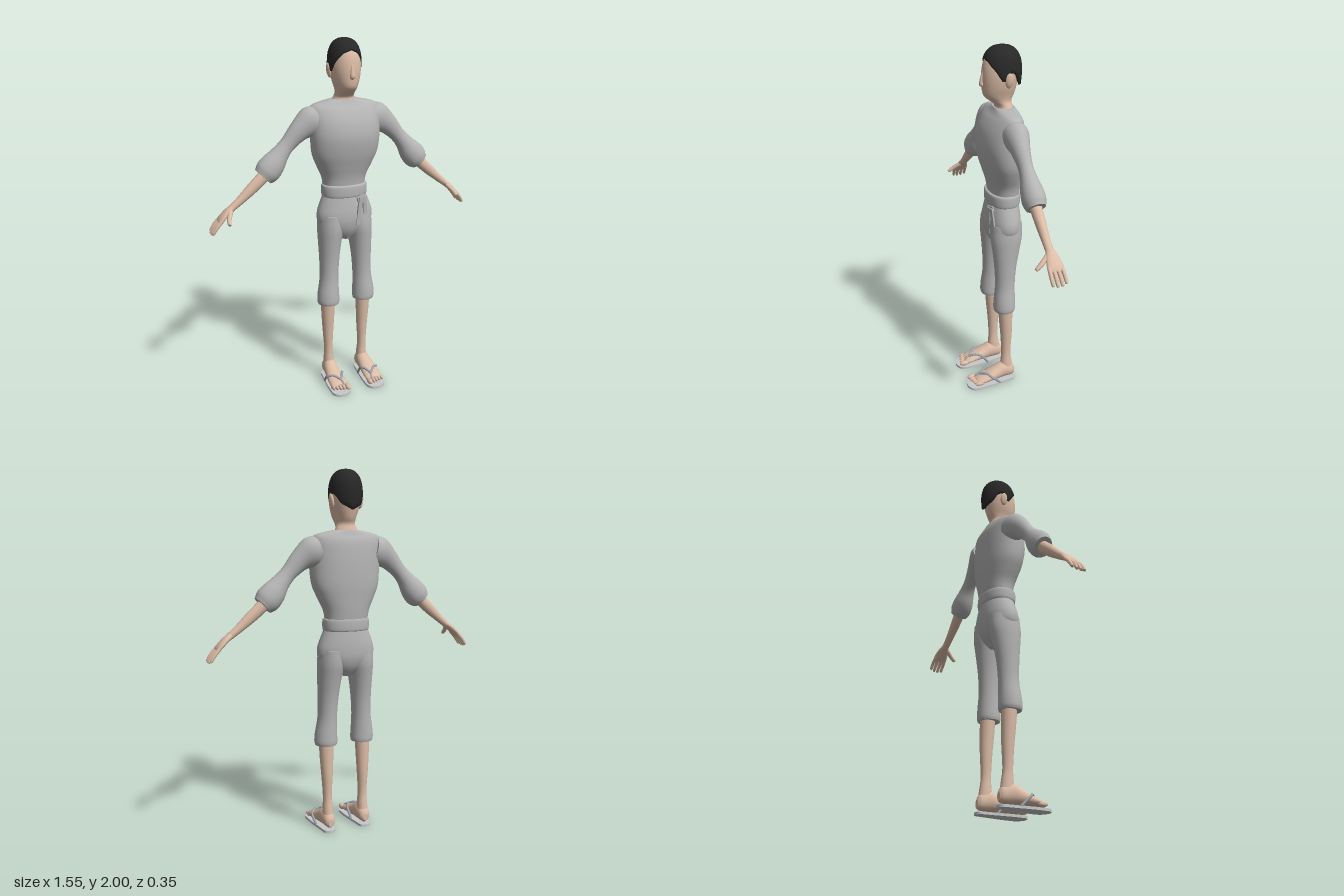
import * as THREE from 'three';

const mat = (name, color) => Object.assign(new THREE.MeshStandardMaterial({ color }), { name });
const V = (x, y, z) => new THREE.Vector3(x, y, z);
const UP = V(0, 1, 0), FRONT = V(0, 0, 1);

// Smooth skin over closed rows of points, optionally capped at both ends
function skin(rows, capped = true) {
  const pos = [], idx = [], n = rows[0].length;
  rows.forEach(r => r.forEach(p => pos.push(p.x, p.y, p.z)));
  for (let i = 0; i < rows.length - 1; i++) for (let j = 0; j < n; j++) {
    const a = i * n + j, b = i * n + (j + 1) % n;
    idx.push(a, b, a + n, b, b + n, a + n);
  }
  if (capped) [rows[0], rows[rows.length - 1]].forEach((r, end) => {
    const base = pos.length / 3, c = V(0, 0, 0);
    r.forEach(p => { pos.push(p.x, p.y, p.z); c.addScaledVector(p, 1 / n); });
    pos.push(c.x, c.y, c.z);
    for (let j = 0; j < n; j++) {
      const k = base + (j + 1) % n;
      idx.push(base + n, end ? base + j : k, end ? k : base + j);
    }
  });
  const g = new THREE.BufferGeometry();
  g.setAttribute('position', new THREE.Float32BufferAttribute(pos, 3));
  g.setIndex(idx);
  g.computeVertexNormals();
  return g;
}

// Loft through rings [x, y, z, radiusU, radiusV]; dir fixes the ring plane, otherwise rings follow the path
function loft(rings, { dir = null, s = 1, n = 24, sub = 4, pow = 1 } = {}) {
  const curve = pts => new THREE.CatmullRomCurve3(pts, false, 'catmullrom');
  const path = curve(rings.map(r => V(r[0] * s, r[1], r[2])));
  const size = curve(rings.map(r => V(r[3], r[4], 0)));
  const count = (rings.length - 1) * sub, rows = [];
  const bend = t => Math.sign(t) * Math.abs(t) ** pow;
  for (let i = 0; i <= count; i++) {
    const c = path.getPoint(i / count), q = size.getPoint(i / count);
    const d = dir || path.getTangent(i / count);
    const u = V(0, 0, 0).crossVectors(dir === FRONT ? UP : FRONT, d).normalize();
    const v = V(0, 0, 0).crossVectors(d, u);
    rows.push(Array.from({ length: n }, (_, j) => {
      const a = j / n * Math.PI * 2;
      return c.clone().addScaledVector(u, bend(Math.cos(a)) * q.x).addScaledVector(v, bend(Math.sin(a)) * q.y);
    }));
  }
  return skin(rows);
}

// Hair cap whose lower edge follows a hairline around the head
function hairGeometry() {
  const line = [[0, 1.94], [0.5, 1.925], [1.0, 1.88], [1.3, 1.83], [1.5, 1.83], [1.75, 1.875],
    [2.05, 1.86], [2.4, 1.815], [3.15, 1.785]];
  const hairline = f => {
    const k = Math.max(1, line.findIndex(p => p[0] >= f)), [a, b] = [line[k - 1], line[k]];
    return a[1] + (b[1] - a[1]) * (f - a[0]) / (b[0] - a[0]);
  };
  const rows = [], n = 48, steps = 14;
  for (let i = 0; i <= steps + 1; i++) rows.push(Array.from({ length: n }, (_, j) => {
    const a = j / n * Math.PI * 2, f = Math.min(a, Math.PI * 2 - a);
    const t = Math.min(i / steps, 1), low = hairline(f);
    const y = low + (2 - low) * (1 - t * t);
    const h = Math.max(0, (y - 1.86) / 0.14);
    let r = Math.max(0, 1 - h ** 2.5) ** (1 / 2.5) - Math.max(0, 1.86 - y) * 0.9;
    if (i > steps) r *= 0.86; // turned-in hem
    return V(Math.sin(a) * 0.09 * r, y, -0.068 + Math.cos(a) * 0.108 * r);
  }));
  return skin(rows.reverse(), false);
}

export function createModel() {
  const cloth = mat('grey cloth', 0xb4b4b4), flesh = mat('skin', 0xdcbca6), black = mat('black hair', 0x282828);
  const strapGrey = mat('blue grey strap', 0x9ea6ae), soleGrey = mat('pale sole', 0xc6c8ca);
  const root = new THREE.Group();
  const add = (name, geo, m, parent = root) => {
    const mesh = new THREE.Mesh(geo, m);
    mesh.name = name;
    parent.add(mesh);
    return mesh;
  };
  const group = name => {
    const g = new THREE.Group();
    g.name = name;
    root.add(g);
    return g;
  };

  // Shirt, belt and hips
  add('shirt', loft([
    [0, 1.17, -0.08, 0.118, 0.077], [0, 1.25, -0.08, 0.13, 0.086], [0, 1.32, -0.073, 0.162, 0.098],
    [0, 1.39, -0.065, 0.19, 0.11], [0, 1.48, -0.058, 0.199, 0.116], [0, 1.56, -0.062, 0.2, 0.107],
    [0, 1.62, -0.072, 0.198, 0.088], [0, 1.656, -0.078, 0.18, 0.066], [0, 1.68, -0.08, 0.08, 0.055],
  ], { dir: UP, n: 40, pow: 0.9 }), cloth);
  add('belt', loft([
    [0, 1.14, -0.075, 0.122, 0.082], [0, 1.15, -0.075, 0.131, 0.09],
    [0, 1.2, -0.075, 0.131, 0.09], [0, 1.21, -0.075, 0.122, 0.082],
  ], { dir: UP, n: 40, pow: 0.9 }), cloth);
  add('hips', loft([
    [0, 0.89, -0.065, 0.035, 0.045], [0, 0.94, -0.068, 0.11, 0.078], [0, 0.99, -0.07, 0.157, 0.094],
    [0, 1.04, -0.071, 0.164, 0.097], [0, 1.09, -0.073, 0.15, 0.093], [0, 1.15, -0.075, 0.125, 0.084],
  ], { dir: UP, n: 40, pow: 0.95 }), cloth);

  // Belt knot and hanging tails
  const knot = group('beltKnot');
  const tail = (name, x, y, z, w, h, tilt) => {
    const m = add(name, new THREE.BoxGeometry(w, h, 0.009), cloth, knot);
    m.position.set(x, y, z);
    m.rotation.set(0.06, 0.25, tilt);
  };
  tail('longTail', 0.052, 1.06, 0.022, 0.026, 0.16, -0.12);
  tail('shortTail', 0.088, 1.085, 0.014, 0.024, 0.11, 0.12);
  tail('knotLoop', 0.065, 1.135, 0.016, 0.055, 0.025, 0.2);

  // Head and neck
  add('head', loft([
    [0, 1.66, -0.078, 0.075, 0.052], [0, 1.69, -0.078, 0.06, 0.045], [0, 1.715, -0.062, 0.054, 0.058],
    [0, 1.745, -0.052, 0.06, 0.082], [0, 1.79, -0.054, 0.074, 0.093], [0, 1.85, -0.06, 0.083, 0.1],
    [0, 1.91, -0.066, 0.079, 0.097], [0, 1.955, -0.068, 0.062, 0.075], [0, 1.985, -0.068, 0.015, 0.02],
  ], { dir: UP, n: 36 }), flesh);
  add('nose', loft([
    [0, 1.79, 0.036, 0.004, 0.005], [0, 1.802, 0.041, 0.014, 0.013],
    [0, 1.825, 0.041, 0.012, 0.011], [0, 1.87, 0.034, 0.005, 0.006],
  ], { dir: UP, n: 14 }), flesh);
  add('hair', hairGeometry(), black);

  for (const s of [1, -1]) {
    const side = s > 0 ? 'left' : 'right';

    const ear = add(side + 'Ear', new THREE.SphereGeometry(1, 16, 12), flesh);
    ear.scale.set(0.012, 0.04, 0.022);
    ear.position.set(s * 0.085, 1.832, -0.078);
    ear.rotation.z = -s * 0.15;

    // Arm with gathered sleeve
    const arm = group(side + 'Arm');
    add('sleeve', loft([
      [0.16, 1.575, -0.075, 0.075, 0.068], [0.2, 1.563, -0.074, 0.083, 0.066], [0.26, 1.525, -0.07, 0.06, 0.05],
      [0.325, 1.46, -0.07, 0.044, 0.038], [0.37, 1.41, -0.07, 0.049, 0.044], [0.41, 1.36, -0.07, 0.066, 0.057],
      [0.445, 1.32, -0.07, 0.07, 0.06], [0.472, 1.293, -0.07, 0.056, 0.05],
    ], { s }), cloth, arm);
    add('forearm', loft([
      [0.45, 1.31, -0.07, 0.034, 0.032], [0.53, 1.24, -0.068, 0.031, 0.027],
      [0.6, 1.18, -0.067, 0.023, 0.022], [0.66, 1.133, -0.067, 0.018, 0.021],
    ], { s, n: 18 }), flesh, arm);

    // Hand with fingers and thumb
    const digit = (name, a, b, c, r) => add(name, loft([
      [...a, r, r], [...b, r * 0.95, r * 0.95], [...c, r * 0.75, r * 0.75],
      [c[0] + (c[0] - b[0]) * 0.1, c[1] + (c[1] - b[1]) * 0.1, c[2] + (c[2] - b[2]) * 0.1, r * 0.2, r * 0.2],
    ], { s, n: 10, sub: 3 }), flesh, arm);
    add('palm', loft([
      [0.64, 1.149, -0.067, 0.017, 0.02], [0.675, 1.122, -0.069, 0.017, 0.034],
      [0.71, 1.087, -0.07, 0.014, 0.043], [0.724, 1.07, -0.071, 0.008, 0.04],
    ], { s, n: 18 }), flesh, arm);
    [-0.106, -0.083, -0.059, -0.036].forEach((z, i) => {
      const k = [0.9, 0.99, 1, 0.94][i];
      digit('finger' + (i + 1), [0.708, 1.088, z * 0.9 - 0.006], [0.708 + 0.035 * k, 1.088 - 0.038 * k, z],
        [0.708 + 0.058 * k, 1.088 - 0.074 * k, z - 0.002], 0.0105);
    });
    digit('thumb', [0.66, 1.128, -0.05], [0.68, 1.098, -0.01], [0.686, 1.078, 0.018], 0.013);

    // Trouser leg and shin
    const leg = group(side + 'Leg');
    add('trouserLeg', loft([
      [0.11, 0.5, -0.052, 0.061, 0.06], [0.111, 0.52, -0.052, 0.065, 0.064], [0.11, 0.57, -0.053, 0.062, 0.062],
      [0.104, 0.66, -0.057, 0.054, 0.057], [0.1, 0.77, -0.06, 0.057, 0.063], [0.094, 0.88, -0.065, 0.066, 0.078],
      [0.086, 0.96, -0.069, 0.075, 0.09], [0.08, 1.04, -0.072, 0.075, 0.088],
    ], { s, dir: UP, n: 28 }), cloth, leg);
    add('shin', loft([
      [0.108, 0.06, -0.07, 0.033, 0.042], [0.108, 0.13, -0.068, 0.029, 0.034], [0.109, 0.2, -0.066, 0.025, 0.028],
      [0.11, 0.32, -0.066, 0.032, 0.034], [0.111, 0.42, -0.062, 0.038, 0.039], [0.111, 0.53, -0.058, 0.043, 0.043],
    ], { s, dir: UP, n: 20 }), flesh, leg);

    // Foot and toes
    const foot = group(side + 'Foot');
    add('foot', loft([
      [0.108, 0.055, -0.118, 0.014, 0.022], [0.108, 0.065, -0.1, 0.031, 0.042], [0.108, 0.076, -0.05, 0.039, 0.054],
      [0.11, 0.064, 0, 0.044, 0.043], [0.111, 0.049, 0.06, 0.05, 0.029], [0.11, 0.041, 0.105, 0.05, 0.02],
      [0.109, 0.037, 0.125, 0.044, 0.013],
    ], { s, dir: FRONT, n: 24 }), flesh, foot);
    for (let i = 0; i < 5; i++) {
      const toe = add('toe' + (i + 1), new THREE.SphereGeometry(1, 12, 10), flesh, foot);
      toe.scale.set(i ? 0.01 : 0.0145, i ? 0.013 : 0.016, 0.031);
      toe.position.set(s * (i ? 0.077 + i * 0.019 : 0.072), 0.035, 0.136 - i * 0.006);
    }

    // Sandal: flat sole with a forked strap
    const sandal = group(side + 'Sandal');
    const outline = new THREE.Shape();
    outline.moveTo(-0.035, -0.1);
    outline.bezierCurveTo(-0.03, -0.132, 0.03, -0.132, 0.035, -0.1);
    outline.bezierCurveTo(0.04, -0.02, 0.056, 0.03, 0.055, 0.13);
    outline.bezierCurveTo(0.054, 0.195, -0.054, 0.195, -0.055, 0.13);
    outline.bezierCurveTo(-0.056, 0.03, -0.04, -0.02, -0.035, -0.1);
    const sole = new THREE.ExtrudeGeometry(outline, { depth: 0.014, bevelEnabled: false, curveSegments: 12 });
    sole.rotateX(Math.PI / 2).translate(s * 0.11, 0.014, 0);
    add('sole', sole, soleGrey, sandal);
    const strap = (name, pts, r) => add(name, new THREE.TubeGeometry(
      new THREE.CatmullRomCurve3(pts.map(p => V(p[0] * s, p[1], p[2]))), 20, r, 8), strapGrey, sandal);
    strap('toePost', [[0.09, 0.01, 0.125], [0.09, 0.05, 0.122], [0.098, 0.066, 0.095]], 0.006);
    strap('innerStrap', [[0.096, 0.065, 0.1], [0.075, 0.078, 0.06], [0.061, 0.07, 0.03], [0.064, 0.012, -0.015]], 0.007);
    strap('outerStrap', [[0.096, 0.065, 0.1], [0.13, 0.08, 0.065], [0.16, 0.065, 0.038], [0.154, 0.012, -0.015]], 0.007);
  }
  return root;
}
